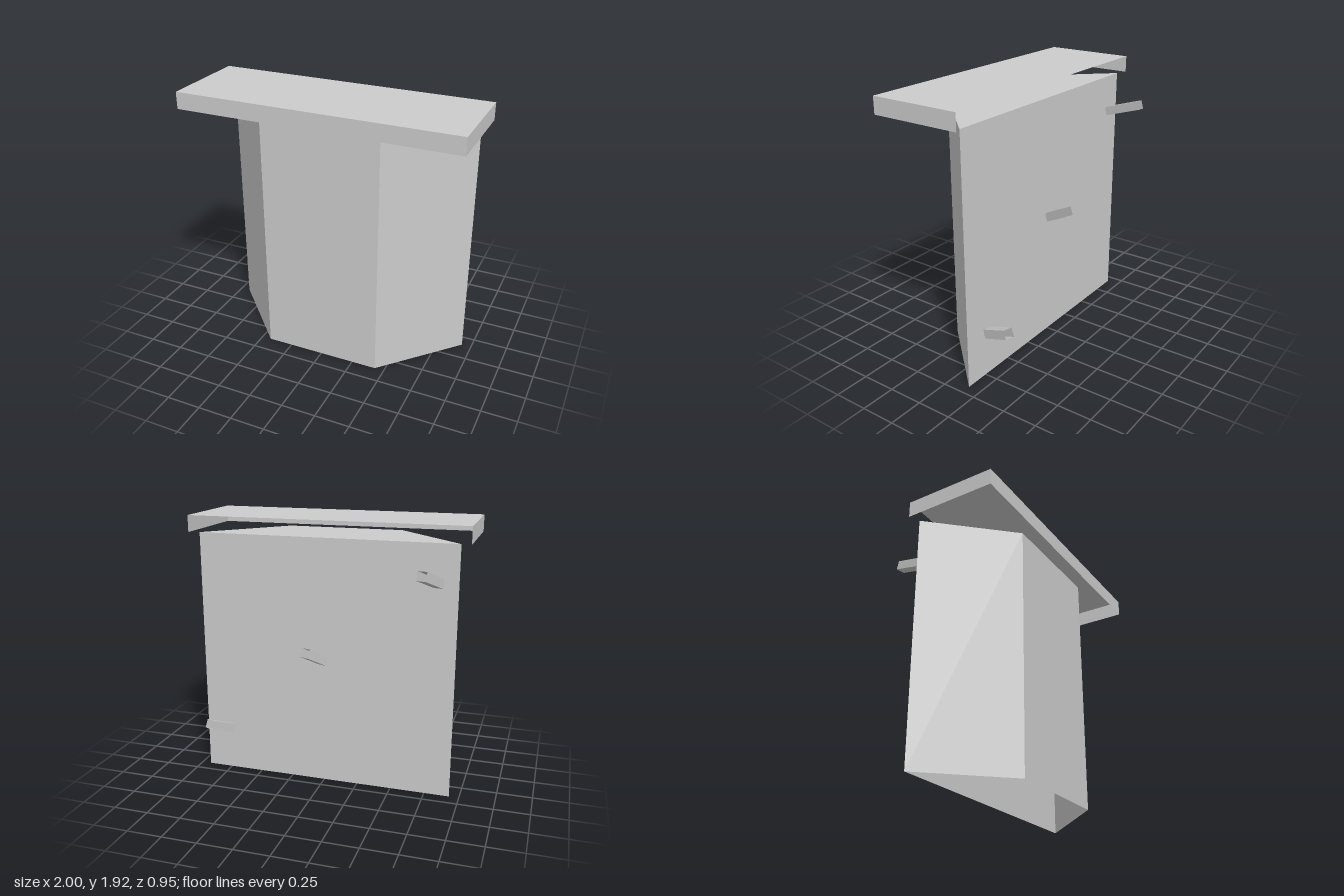
import * as THREE from 'three';

const FACES = ['px', 'nx', 'py', 'ny', 'pz', 'nz'];

// Box shell with the named faces left open
function openBox(w, h, d, open) {
  const geo = new THREE.BoxGeometry(w, h, d);
  const index = Array.from(geo.index.array);
  geo.setIndex(index.filter((_, i) => !open.includes(FACES[Math.floor(i / 6)])));
  geo.clearGroups();
  return geo;
}

export function createModel() {
  const model = new THREE.Group();
  const grey = new THREE.MeshStandardMaterial({ color: 0xcccccc, side: THREE.DoubleSide });
  grey.name = 'plainGrey';

  const add = (name, geo, x, y, z) => {
    const mesh = new THREE.Mesh(geo, grey);
    mesh.name = name;
    mesh.position.set(x, y, z);
    model.add(mesh);
    return mesh;
  };

  // Body: tapered towards the front, open underneath
  const bodyGeo = openBox(1.86, 1.8, 0.53, ['ny']);
  const pos = bodyGeo.attributes.position;
  for (let i = 0; i < pos.count; i++) {
    if (pos.getZ(i) > 0) pos.setX(i, Math.sign(pos.getX(i)) * 0.43);
  }
  bodyGeo.computeVertexNormals();
  add('body', bodyGeo, 0, 0.9, 0.11);

  // Top slab: a shell open at the back and underneath
  add('topSlab', openBox(2, 0.12, 0.666, ['ny', 'nz']), 0, 1.862, 0.142);

  // Slanted pegs on the back, hollow at the tip: base centre and run
  const pegs = [
    ['upperPeg', [-0.8, 1.535, -0.168], [0.065, 0.1, -0.293]],
    ['middlePeg', [0.0, 0.93, -0.17], [0.07, 0.107, -0.198]],
    ['lowerPeg', [0.73, 0.33, -0.17], [0.07, 0.107, -0.227]],
  ];
  for (const [name, base, run] of pegs) {
    const dir = new THREE.Vector3(...run);
    const length = dir.length();
    const geo = openBox(0.065, 0.063, length, ['pz']);
    geo.translate(0, 0, length / 2);
    const peg = add(name, geo, ...base);
    peg.lookAt(dir.add(peg.position));
  }

  return model;
}
